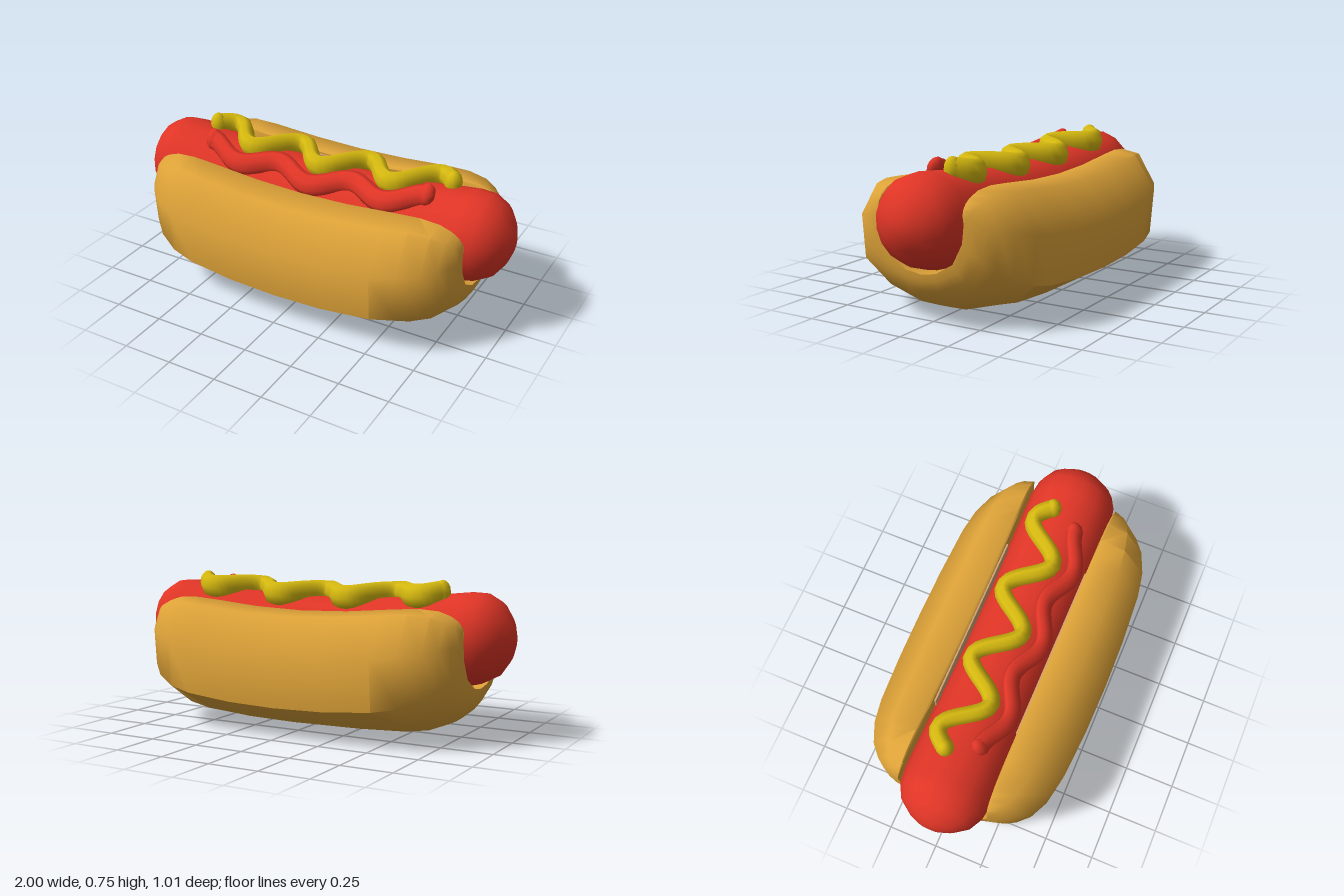
import * as THREE from 'three';
import { mergeVertices, mergeGeometries, toCreasedNormals } from 'three/addons/utils/BufferGeometryUtils.js';

const material = (name, color) => Object.assign(new THREE.MeshStandardMaterial({ color }), { name });

// Moves every vertex upward by a rule of its position, then rebuilds smooth normals
function lift(geometry, rule) {
  geometry.deleteAttribute('uv');
  geometry.deleteAttribute('normal');
  const g = mergeVertices(geometry, 1e-4);
  const p = g.attributes.position;
  for (let i = 0; i < p.count; i++) p.setY(i, p.getY(i) + rule(p.getX(i), p.getZ(i)));
  g.computeVertexNormals();
  return g;
}

// Split bun: a U-shaped section that closes onto a core line towards both ends
function bunGeometry() {
  const outer = [[0, 0.005], [0.09, 0.005], [0.3, 0.055], [0.485, 0.155], [0.505, 0.39], [0.37, 0.575], [0.225, 0.59]];
  const inner = [[0, 0.205], [0.08, 0.215], [0.16, 0.26], [0.21, 0.34], [0.225, 0.42], [0.218, 0.5], [0.213, 0.58]];
  const core = [[0, 0.205], [0.08, 0.215], [0.17, 0.26], [0.22, 0.34], [0.228, 0.4], [0.228, 0.42], [0.225, 0.44]];
  const half = [[0, 1], [0.25, 0.985], [0.5, 0.93], [0.62, 0.85], [0.72, 0.69], [0.78, 0.5], [0.815, 0.33], [0.837, 0.15], [0.842, 0]];
  const stations = [...half.slice(1).reverse().map(([x, f]) => [-x, f]), ...half];

  const ring = (f) => {
    const close = (list) => list.map(([z, y], i) => [
      THREE.MathUtils.lerp(core[i][0], z, f), THREE.MathUtils.lerp(core[i][1], y, f)]);
    const o = close(outer), n = close(inner);
    const flip = ([z, y]) => [-z, y];
    return [...o, ...n.slice().reverse(), ...n.slice(1).map(flip), ...o.slice(1).reverse().map(flip)];
  };

  const positions = [], index = [];
  let count = 0;
  stations.forEach(([x, f], s) => {
    const points = ring(f);
    count = points.length;
    points.forEach(([z, y]) => positions.push(x, y * (1 + 0.28 * x * x), z));
    if (s === 0) return;
    for (let j = 0; j < count; j++) {
      const k = (j + 1) % count, a = (s - 1) * count, b = s * count;
      index.push(a + j, b + j, a + k, a + k, b + j, b + k);
    }
  });
  const g = new THREE.BufferGeometry();
  g.setAttribute('position', new THREE.Float32BufferAttribute(positions, 3));
  g.setIndex(index);
  return toCreasedNormals(g, 0.9);
}

// Sausage: a lathed capsule, laid along x and bent up at its ends
function sausageGeometry() {
  const half = [[0.218, 0], [0.218, 0.2], [0.22, 0.4], [0.222, 0.6], [0.222, 0.78], [0.21, 0.86], [0.175, 0.925], [0.11, 0.972], [0.05, 0.995], [0, 1]];
  const profile = [...half.slice(1).reverse().map(([r, y]) => [r, -y]), ...half];
  const g = new THREE.LatheGeometry(profile.map(([r, y]) => new THREE.Vector2(r, y)), 16, Math.PI / 16);
  g.rotateZ(-Math.PI / 2);
  return lift(g, (x) => 0.425 + 0.08 * Math.min(x * x, 0.72));
}

// Sauce: a wavy tube with rounded ends, stretched in height
function sauceGeometry(length, radius, tall, wave, rule) {
  const points = [];
  for (let i = 0; i <= 48; i++) {
    const x = length * (i / 24 - 1);
    points.push(new THREE.Vector3(x, 0, wave(x)));
  }
  const tube = new THREE.TubeGeometry(new THREE.CatmullRomCurve3(points), 72, radius, 8);
  const ends = [points[0], points[48]].map((p) =>
    new THREE.SphereGeometry(radius * 1.04, 10, 8).translate(p.x, 0, p.z));
  return lift(mergeGeometries([tube, ...ends]).scale(1, tall, 1), rule);
}

export function createModel() {
  const group = new THREE.Group();
  const bunBrown = material('bunBrown', 0xdda238);
  const crumb = material('crumb', 0xd2a273);
  const red = material('sausageRed', 0xe03526);
  const yellow = material('mustardYellow', 0xd6b90f);
  const add = (name, geometry, mat) => {
    const mesh = new THREE.Mesh(geometry, mat);
    mesh.name = name;
    group.add(mesh);
    return mesh;
  };

  add('bun', bunGeometry(), bunBrown);
  add('sausage', sausageGeometry(), red);

  // Pale inner faces of the bun
  for (const side of [-1, 1]) {
    add(side > 0 ? 'frontCrumb' : 'backCrumb', new THREE.BoxGeometry(0.89, 0.15, 0.009), crumb)
      .position.set(0, 0.5, side * 0.21);
  }

  const mustardWave = (x) => -0.035 + 0.09 * Math.cos(2 * Math.PI * x / 0.385);
  add('mustard', sauceGeometry(0.66, 0.042, 1.4, mustardWave,
    (x, z) => 0.658 + 0.075 * x * x - 0.5 * z * z), yellow);

  const ketchupWave = (x) => 0.125 + 0.035 * Math.cos(2 * Math.PI * x / 0.4);
  add('ketchup', sauceGeometry(0.59, 0.04, 1.15, ketchupWave,
    (x, z) => 0.625 + 0.11 * x * x - 0.45 * (z - 0.12)), red);

  return group;
}
